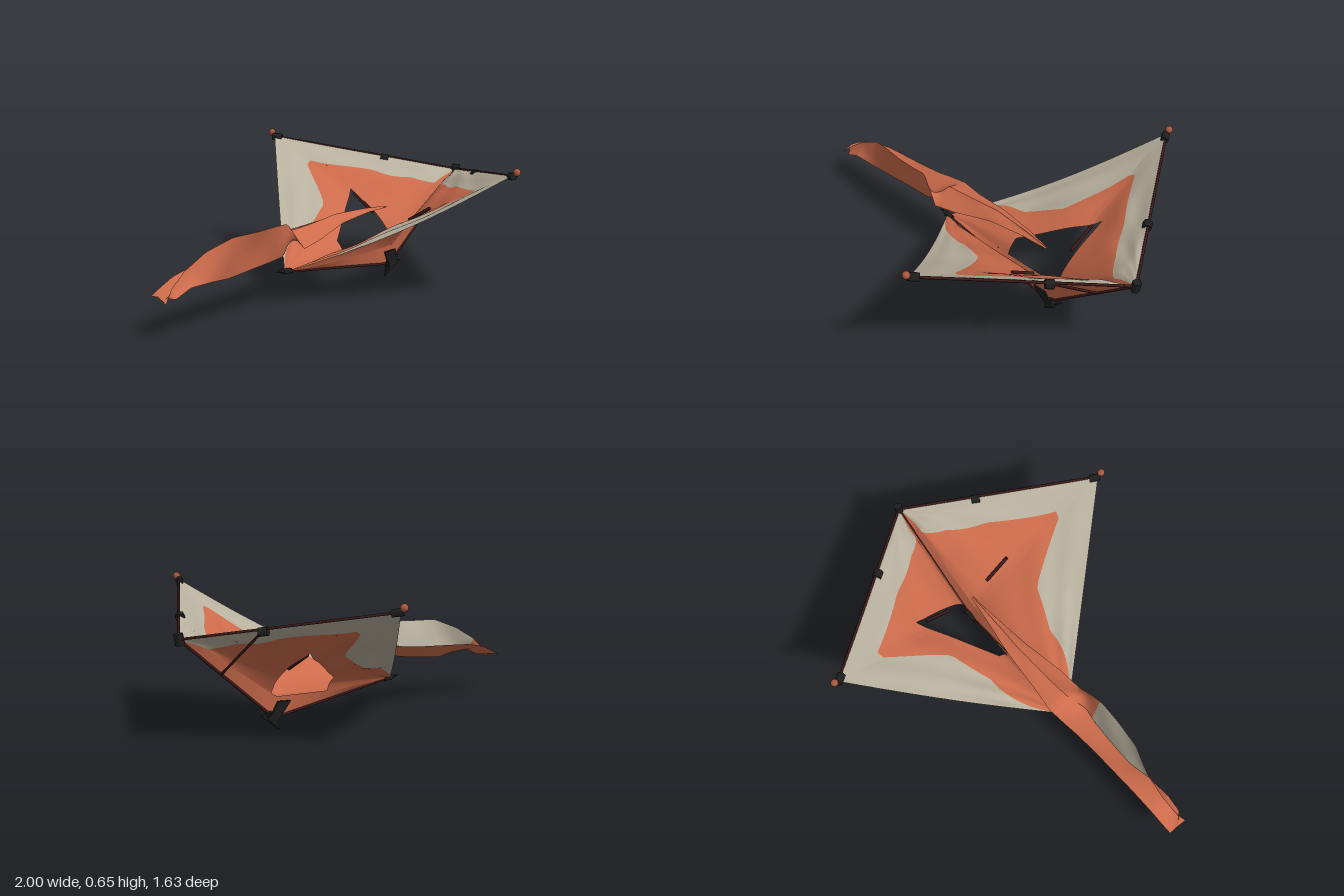
import * as THREE from 'three';

const mat = (name, color, side = THREE.DoubleSide) => {
  const m = new THREE.MeshStandardMaterial({ color, side });
  m.name = name;
  return m;
};
const V = (x, y, z) => new THREE.Vector3(x, y, z);

// piecewise linear lookup through [x, value] pairs
function interp(pairs, x) {
  if (x <= pairs[0][0]) return pairs[0][1];
  for (let i = 1; i < pairs.length; i++) {
    const [x0, a] = pairs[i - 1], [x1, b] = pairs[i];
    if (x <= x1) return a + (b - a) * (x - x0) / (x1 - x0);
  }
  return pairs[pairs.length - 1][1];
}

// grid surface from a point function of (u, v) in 0..1
function patch(fn, nu, nv, flip = false) {
  const pos = [], idx = [];
  for (let i = 0; i <= nu; i++)
    for (let j = 0; j <= nv; j++) pos.push(...fn(i / nu, j / nv));
  for (let i = 0; i < nu; i++)
    for (let j = 0; j < nv; j++) {
      const a = i * (nv + 1) + j, b = a + 1, c = a + nv + 1, d = c + 1;
      if (flip) idx.push(a, c, b, b, c, d);
      else idx.push(a, b, c, b, d, c);
    }
  const g = new THREE.BufferGeometry();
  g.setAttribute('position', new THREE.Float32BufferAttribute(pos, 3));
  g.setIndex(idx);
  g.computeVertexNormals();
  return g;
}

// sail rules along x: tail -0.25, wing tip 0.43, nose 0.98
const TAIL = -0.25, TIP = 0.43, NOSE = 0.98;
const edgeZ = x => 0.78 * (x > TIP ? (NOSE - x) / 0.55 : (x - TAIL) / 0.68);
const edgeY = x => x > TIP ? 0.47 + 0.15 * (NOSE - x) / 0.55
  : 0.15 + 0.47 * (x - TAIL) / 0.68 - 0.038 * Math.sin(Math.PI * (x - TAIL) / 0.68);
const spineY = x => interp([[TAIL, 0.155], [0.47, 0.06], [NOSE, 0.47]], x);
const foldY = x => interp([[TAIL, 0.155], [0.1, 0.145], [0.47, 0.16], [0.7, 0.31], [0.85, 0.42], [NOSE, 0.47]], x);
const foldZ = x => Math.min(0.02, edgeZ(x) * 0.15);
const borderT = x => interp([[TAIL, 1], [-0.13, 0.8], [0.09, 0.45], [0.28, 0.42], [0.46, 0.73], [0.65, 0.57], [0.76, 0.3], [0.83, 0]], x);
const holeT = x => (0.05 + 0.23 * (x - 0.17) / 0.33) / edgeZ(x);

// steep beside the spine, flatter toward the edge, with slight ripples
function sailPoint(x, t, side) {
  const z = foldZ(x) + (edgeZ(x) - foldZ(x)) * t;
  const arch = 0.055 * Math.sin(Math.PI * (x - TAIL) / (NOSE - TAIL)) * Math.sin(Math.PI * Math.sqrt(t));
  const ripple = Math.sin(Math.PI * t) * Math.min(1, edgeZ(x) * 4) *
    (0.005 * Math.sin(x * 19 + t * 7 + side) + 0.004 * Math.sin(x * 9 - t * 17));
  return [x, foldY(x) + (edgeY(x) - foldY(x)) * t + arch + ripple, side * z];
}

export function createModel() {
  const root = new THREE.Group();
  root.name = 'tornKite';
  const orange = mat('orange cloth', 0xcc6b4b);
  const beige = mat('beige cloth', 0xb9b19e);
  const orangeFace = mat('orange ribbon face', 0xcc6b4b, THREE.FrontSide);
  const beigeFace = mat('beige ribbon face', 0xb9b19e, THREE.FrontSide);
  const wood = mat('dark red wood', 0x3c1a1a);
  const black = mat('black binding', 0x1f1f20);
  const cap = mat('terracotta cap', 0xa9583f);

  const add = (name, geo, material, parent = root) => {
    const m = new THREE.Mesh(geo, material);
    m.name = name;
    parent.add(m);
    return m;
  };
  const rod = (name, a, b, r = 0.0065, material = wood) => {
    const m = add(name, new THREE.CylinderGeometry(r, r, a.distanceTo(b), 6), material);
    m.position.copy(a).lerp(b, 0.5);
    m.quaternion.setFromUnitVectors(V(0, 1, 0), b.clone().sub(a).normalize());
  };
  const joint = (name, p, dir, r, len) => {
    const d = dir.clone().normalize().multiplyScalar(len / 2);
    rod(name, p.clone().sub(d), p.clone().add(d), r, black);
  };

  const nose = V(NOSE, 0.47, 0), keel = V(0.47, 0.06, 0), tail = V(TAIL, 0.155, 0);
  const spans = [TAIL, 0.17, TIP, 0.46, 0.5, NOSE];

  for (const side of [1, -1]) {
    const wing = new THREE.Group();
    wing.name = side > 0 ? 'frontWing' : 'backWing';
    root.add(wing);
    // sail cloth in spans; the middle ones are torn open on the back wing
    for (let i = 0; i < spans.length - 1; i++) {
      const x0 = spans[i], x1 = spans[i + 1];
      const from = side < 0 && x0 >= 0.17 && x1 <= 0.5 ? holeT : () => 0;
      const border = x => Math.max(from(x), borderT(x));
      const cloth = (lo, hi) => patch((u, v) => {
        const x = x0 + (x1 - x0) * u;
        return sailPoint(x, lo(x) + (hi(x) - lo(x)) * v, side);
      }, Math.ceil((x1 - x0) * 50), 16, side < 0);
      add('sailPanel', cloth(from, border), orange, wing);
      add('sailBorder', cloth(border, () => 1), beige, wing);
    }
    // steep strip joining the sail to the spine
    add('keelStrip', patch((u, v) => {
      const x = TAIL + (NOSE - TAIL) * u;
      return [x, spineY(x) + (foldY(x) - spineY(x)) * v, side * foldZ(x) * v];
    }, 60, 2, side < 0), orange, wing);

    // frame rods, bindings and end cap
    const tip = V(TIP, 0.615, 0.78 * side), mid = V(0.765, 0.523, 0.305 * side);
    rod('leadingEdge', nose, tip);
    rod('strut', mid, V(0.76, 0.293, 0));
    rod('innerBrace', V(0.48, 0.3, 0.12 * side), V(0.48, 0.378, 0.25 * side), 0.008);
    const along = tip.clone().sub(nose);
    joint('tipBinding', V(0.437, 0.612, 0.765 * side), along, 0.019, 0.05);
    joint('midBinding', V(0.762, 0.515, 0.3 * side), along, 0.022, 0.04);
    const ball = add('tipCap', new THREE.SphereGeometry(0.018, 10, 8), cap);
    ball.position.set(0.43, 0.634, 0.797 * side);
    // curled plate of the keel hook
    const s = new THREE.Shape();
    [[0.44, 0], [0.53, 0.075], [0.5, 0.08], [0.475, 0.145], [0.4, 0.14], [0.43, 0.09], [0.46, 0.05]]
      .forEach(([x, y], i) => i ? s.lineTo(x, y) : s.moveTo(x, y));
    const plate = new THREE.ExtrudeGeometry(s, { depth: 0.008, bevelEnabled: false });
    plate.translate(0, 0, -0.004);
    plate.rotateX(side * 0.25);
    add('keelHook', plate, black);
  }

  // spine with bindings
  rod('frontSpine', nose, keel);
  rod('rearSpine', keel, tail);
  joint('noseBinding', V(0.978, 0.47, 0), V(0.2, 1, 0), 0.021, 0.05);
  joint('keelBinding', V(0.475, 0.07, 0), V(1, 0.4, 0), 0.018, 0.06);
  joint('tailBinding', V(-0.235, 0.155, 0), V(1, -0.1, 0), 0.014, 0.05);
  const spike = add('tailSpike', new THREE.ConeGeometry(0.012, 0.06, 6), black);
  spike.position.set(-0.28, 0.16, 0);
  spike.rotation.z = Math.PI / 2;

  // trailing ribbon, folded once lengthwise: x, then y and z of near edge, fold and far edge
  const stations = [
    [-1, 0.165, 0.065, 0.19, 0.01, 0.185, -0.035], [-0.95, 0.22, 0.04, 0.18, 0.07, 0.21, -0.04],
    [-0.87, 0.28, 0.03, 0.215, 0.072, 0.245, -0.045], [-0.75, 0.345, 0.035, 0.215, 0.065, 0.27, -0.05],
    [-0.63, 0.395, 0.075, 0.205, 0.045, 0.28, -0.055], [-0.5, 0.4, 0.09, 0.22, 0.045, 0.29, -0.06],
    [-0.38, 0.408, 0.095, 0.235, 0.05, 0.3, -0.07], [-0.31, 0.405, 0.085, 0.25, 0.06, 0.31, -0.08],
    [-0.22, 0.275, 0.1, 0.345, 0.01, 0.32, -0.09], [-0.1, 0.295, 0.085, 0.35, 0, 0.325, -0.075],
    [0.1, 0.335, 0.04, 0.37, -0.01, 0.345, -0.06], [0.3, 0.35, 0.015, 0.368, -0.005, 0.355, -0.03],
    [0.44, 0.35, 0.003, 0.358, 0, 0.352, -0.008],
  ];
  const [nearY, nearZ, midY, midZ, farY, farZ] = [1, 2, 3, 4, 5, 6].map(k => stations.map(r => [r[0], r[k]]));
  const strip = (x0, x1, ay, az, by, bz) => (u, v) => {
    const x = x0 + (x1 - x0) * u, a = interp(az, x), b = interp(bz, x);
    return [x, interp(ay, x) * (1 - v) + interp(by, x) * v,
      a * (1 - v) + b * v + 0.008 * Math.sin(Math.PI * v) * Math.sin(x * 16)];
  };
  const upper = (x0, x1) => strip(x0, x1, nearY, nearZ, midY, midZ);
  add('ribbonFlap', patch(strip(-1, 0.44, midY, midZ, farY, farZ), 72, 4), orange);
  add('ribbonEnd', patch(upper(-1, -0.87), 8, 6), orange);
  add('ribbonRoot', patch(upper(-0.36, 0.44), 40, 6), orange);
  add('ribbonFront', patch(upper(-0.87, -0.36), 28, 6), orangeFace);
  add('ribbonBack', patch(upper(-0.87, -0.36), 28, 6, true), beigeFace);
  return root;
}
